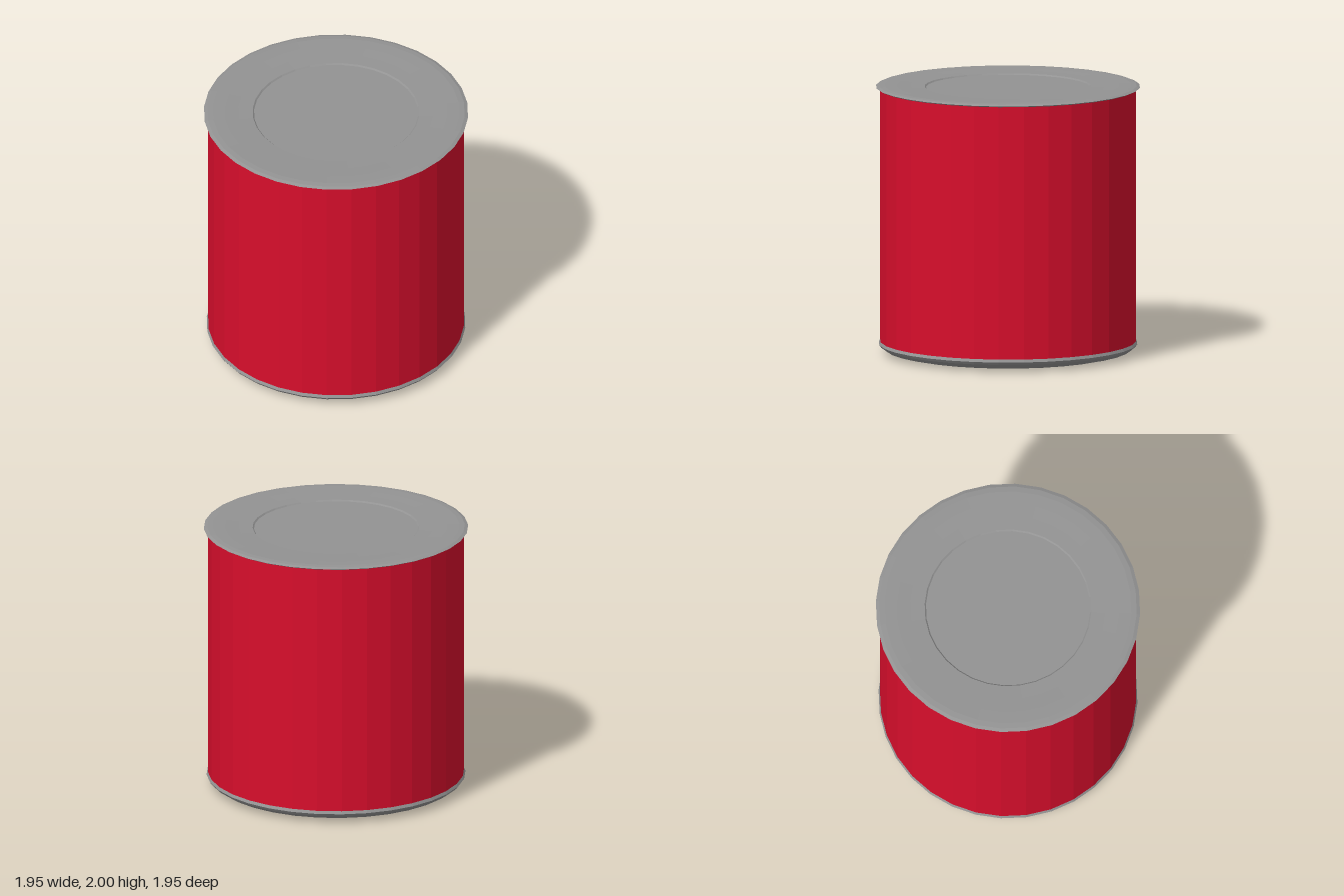
import * as THREE from 'three';

const SIDES = 32;

// Turned part with flat facets; the profile runs from bottom to top as [radius, y]
function turned(name, profile, material) {
  const points = profile.map(([r, y]) => new THREE.Vector2(r, y));
  const geometry = new THREE.LatheGeometry(points, SIDES).toNonIndexed();
  geometry.computeVertexNormals();
  const mesh = new THREE.Mesh(geometry, material);
  mesh.name = name;
  return mesh;
}

export function createModel() {
  const red = new THREE.MeshStandardMaterial({ color: 0xd80e2c });
  red.name = 'red label';
  const grey = new THREE.MeshStandardMaterial({ color: 0x939393 });
  grey.name = 'grey metal';

  const can = new THREE.Group();
  can.name = 'can';

  // Straight wall
  can.add(turned('body', [[0.945, 0.095], [0.945, 1.983]], red));

  // Rounded base with a recessed centre panel
  can.add(turned('base', [
    [0, 0.05], [0.58, 0.05], [0.61, 0.02], [0.65, 0.006], [0.72, 0],
    [0.82, 0.01], [0.9, 0.028], [0.94, 0.055], [0.955, 0.075], [0.943, 0.1],
  ], grey));

  // Overhanging lid with a shallow dished centre panel
  can.add(turned('lid', [
    [0.943, 1.978], [0.96, 1.98], [0.975, 1.988], [0.95, 1.997], [0.91, 2],
    [0.82, 1.998], [0.72, 1.993], [0.615, 1.99], [0.605, 1.98], [0, 1.98],
  ], grey));

  return can;
}
